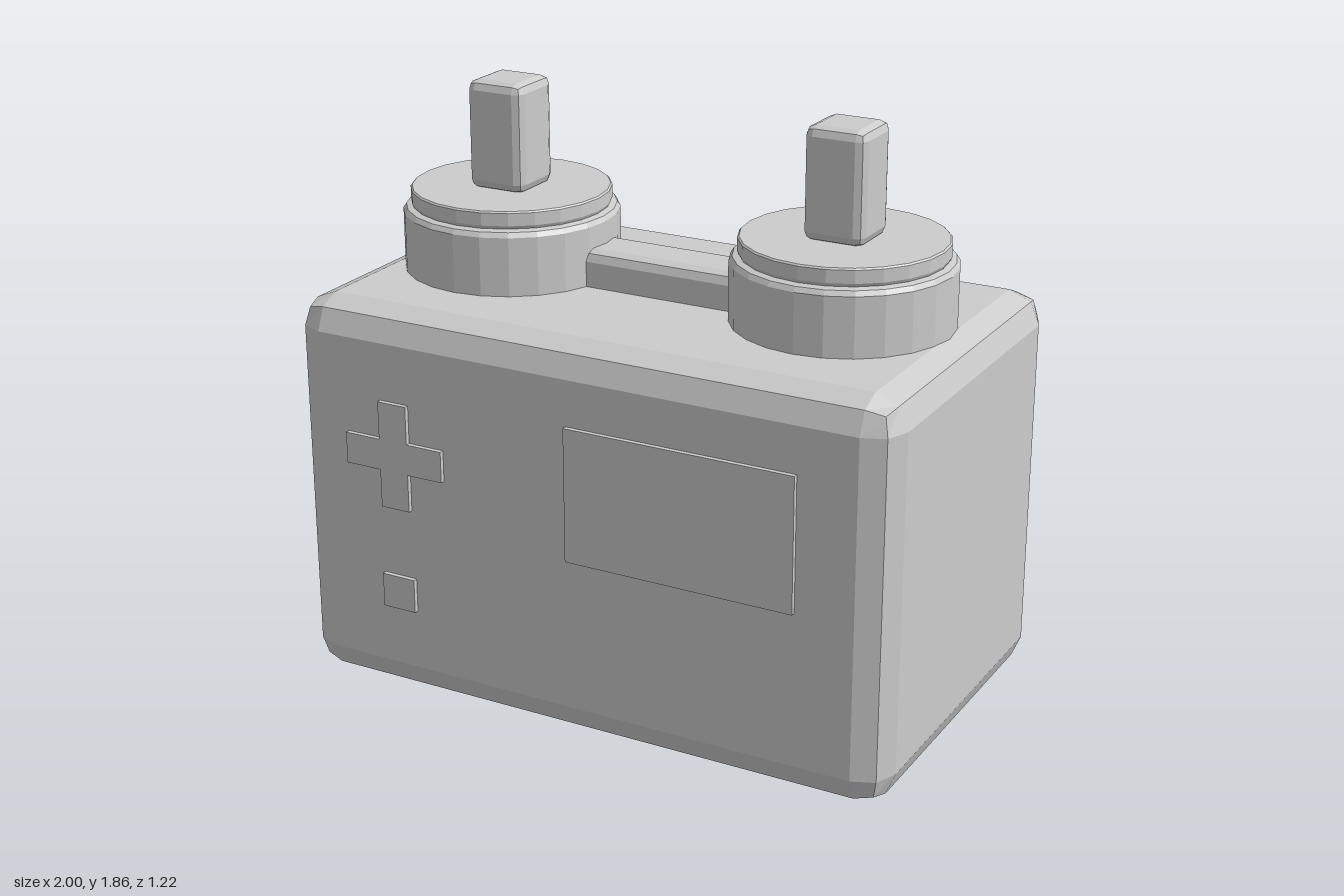
import * as THREE from 'three';
import { RoundedBoxGeometry } from 'three/addons/geometries/RoundedBoxGeometry.js';

export function createModel() {
  const model = new THREE.Group();
  model.name = 'battery';
  const flat = new THREE.MeshStandardMaterial({ color: 0xcccccc, flatShading: true });
  const midZ = -0.005;

  const add = (name, geometry, x, y, z, parent = model) => {
    const mesh = new THREE.Mesh(geometry, flat);
    mesh.name = name;
    mesh.position.set(x, y, z);
    parent.add(mesh);
    return mesh;
  };
  const bevelBox = (w, h, d, r) => new RoundedBoxGeometry(w, h, d, 1, r);

  // Main case with a two-step bevel
  add('case', bevelBox(2, 1.26, 1.2, 0.1), 0, 0.63, midZ);

  // Bar joining the two terminals
  add('connectingBar', bevelBox(0.7, 0.19, 0.195, 0.035), 0, 1.28, midZ);

  // Terminals: wide collar, stepped cap and square post
  const profile = [
    [0, 1.2], [0.34, 1.2], [0.34, 1.445], [0.33, 1.46], [0.31, 1.465],
    [0.315, 1.475], [0.315, 1.515], [0.31, 1.52], [0, 1.52],
  ].map(([r, y]) => new THREE.Vector2(r, y));
  for (const [side, x] of [['left', 0.57], ['right', -0.575]]) {
    const terminal = new THREE.Group();
    terminal.name = `${side}Terminal`;
    terminal.position.set(x, 0, midZ);
    add('collar', new THREE.LatheGeometry(profile, 24), 0, 0, 0, terminal);
    add('post', bevelBox(0.195, 0.345, 0.195, 0.03), 0, 1.6875, 0, terminal);
    model.add(terminal);
  }

  // Thin raised details on the front face
  const depth = 0.04, panelZ = 0.61 - depth / 2;
  add('screenPanel', new THREE.BoxGeometry(0.745, 0.425, depth), 0.3425, 0.8025, panelZ);
  add('squareButton', new THREE.BoxGeometry(0.115, 0.11, depth), -0.6325, 0.35, panelZ);

  // Plus sign built as one twelve-sided outline
  const a = 0.172, b = 0.05;
  const plus = new THREE.Shape([
    [b, -a], [b, -b], [a, -b], [a, b], [b, b], [b, a],
    [-b, a], [-b, b], [-a, b], [-a, -b], [-b, -b], [-b, -a],
  ].map(([x, y]) => new THREE.Vector2(x, y)));
  add('plusSign', new THREE.ExtrudeGeometry(plus, { depth, bevelEnabled: false }),
    -0.632, 0.805, 0.61 - depth);

  return model;
}
